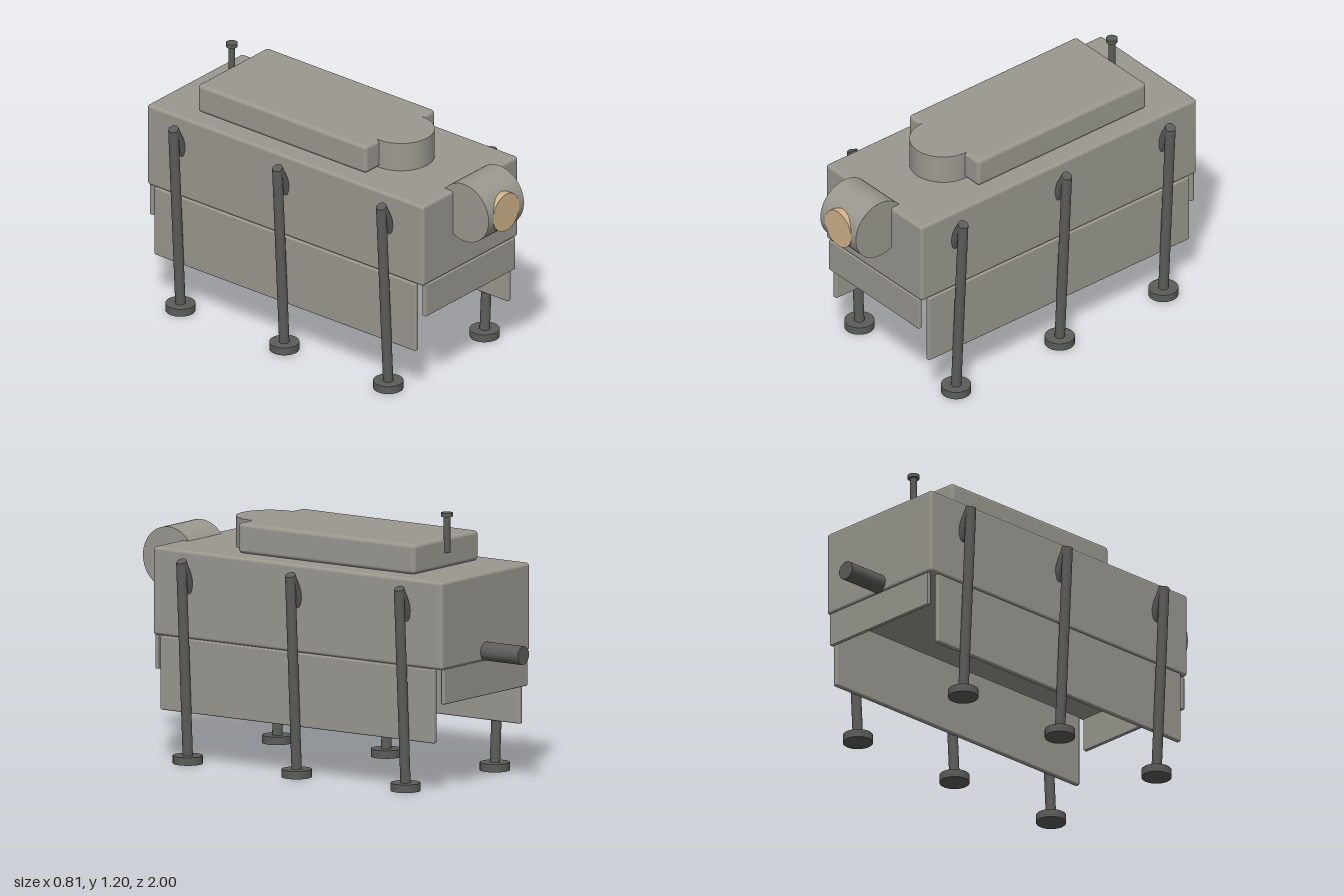
import * as THREE from 'three';
import { RoundedBoxGeometry } from 'three/addons/geometries/RoundedBoxGeometry.js';

export function createModel() {
  const model = new THREE.Group();
  const hull = new THREE.MeshStandardMaterial({ name: 'warm grey', color: 0x9a9890 });
  const dark = new THREE.MeshStandardMaterial({ name: 'dark grey', color: 0x5c5d59 });
  const amber = new THREE.MeshStandardMaterial({ name: 'tan lens', color: 0xd2b48c });

  // Rounded box given by its minimum and maximum corners
  function box(name, min, max, radius) {
    const s = max.map((v, i) => v - min[i]);
    const mesh = new THREE.Mesh(new RoundedBoxGeometry(s[0], s[1], s[2], 3, radius), hull);
    mesh.position.set(...max.map((v, i) => (v + min[i]) / 2));
    mesh.name = name;
    model.add(mesh);
  }

  // Cylinder running between two points
  function rod(name, from, to, radius, material, parent = model, sides = 32) {
    const a = new THREE.Vector3(...from), b = new THREE.Vector3(...to);
    const dir = b.clone().sub(a);
    const mesh = new THREE.Mesh(new THREE.CylinderGeometry(radius, radius, dir.length(), sides), material);
    mesh.position.copy(a).add(b).multiplyScalar(0.5);
    mesh.quaternion.setFromUnitVectors(new THREE.Vector3(0, 1, 0), dir.normalize());
    mesh.name = name;
    parent.add(mesh);
  }

  // Body and raised deck with its round front
  box('body', [-0.33, 0.557, -0.795], [0.33, 0.952, 0.795], 0.015);
  box('upperDeck', [-0.242, 0.952, -0.578], [0.242, 1.087, 0.393], 0.018);
  rod('deckRoundFront', [0, 0.94, 0.393], [0, 1.087, 0.393], 0.15, hull, model, 48);

  // Hanging skirts
  for (const s of [1, -1]) {
    const side = s > 0 ? 'left' : 'right';
    const x = s > 0 ? [0.308, 0.332] : [-0.332, -0.308];
    box(side + 'Skirt', [x[0], 0.225, -0.752], [x[1], 0.557, 0.752], 0.007);
    const z = s > 0 ? [0.775, 0.795] : [-0.795, -0.775];
    box(s > 0 ? 'frontSkirt' : 'backSkirt', [-0.31, 0.402, z[0]], [0.31, 0.557, z[1]], 0.004);
  }

  // Drum-shaped lamp and its lens
  rod('lampDrum', [-0.122, 0.866, 0.86], [0.122, 0.866, 0.86], 0.14, hull, model, 48);
  rod('lampLens', [0, 0.866, 0.9], [0, 0.866, 1.0], 0.09, amber, model, 40);

  // Rear pipe and periscope
  rod('rearPipe', [0, 0.6, -0.75], [0, 0.6, -1.0], 0.042, dark);
  rod('periscopeTube', [0, 1.02, -0.58], [0, 1.185, -0.58], 0.015, dark);
  rod('periscopeHead', [0, 1.182, -0.58], [0, 1.2, -0.58], 0.026, dark);

  // Six legs: slanted strut, long shin and round foot
  for (const s of [1, -1]) {
    for (const z of [0.598, 0, -0.598]) {
      const leg = new THREE.Group();
      leg.name = (s > 0 ? 'left' : 'right') + (z > 0 ? 'Front' : z < 0 ? 'Back' : 'Middle') + 'Leg';
      rod('strut', [s * 0.28, 0.71, z], [s * 0.382, 0.912, z], 0.024, dark, leg, 24);
      rod('shin', [s * 0.333, 0.02, z], [s * 0.382, 0.907, z], 0.023, dark, leg, 24);
      rod('foot', [s * 0.333, 0, z], [s * 0.333, 0.036, z], 0.067, dark, leg);
      model.add(leg);
    }
  }
  return model;
}
